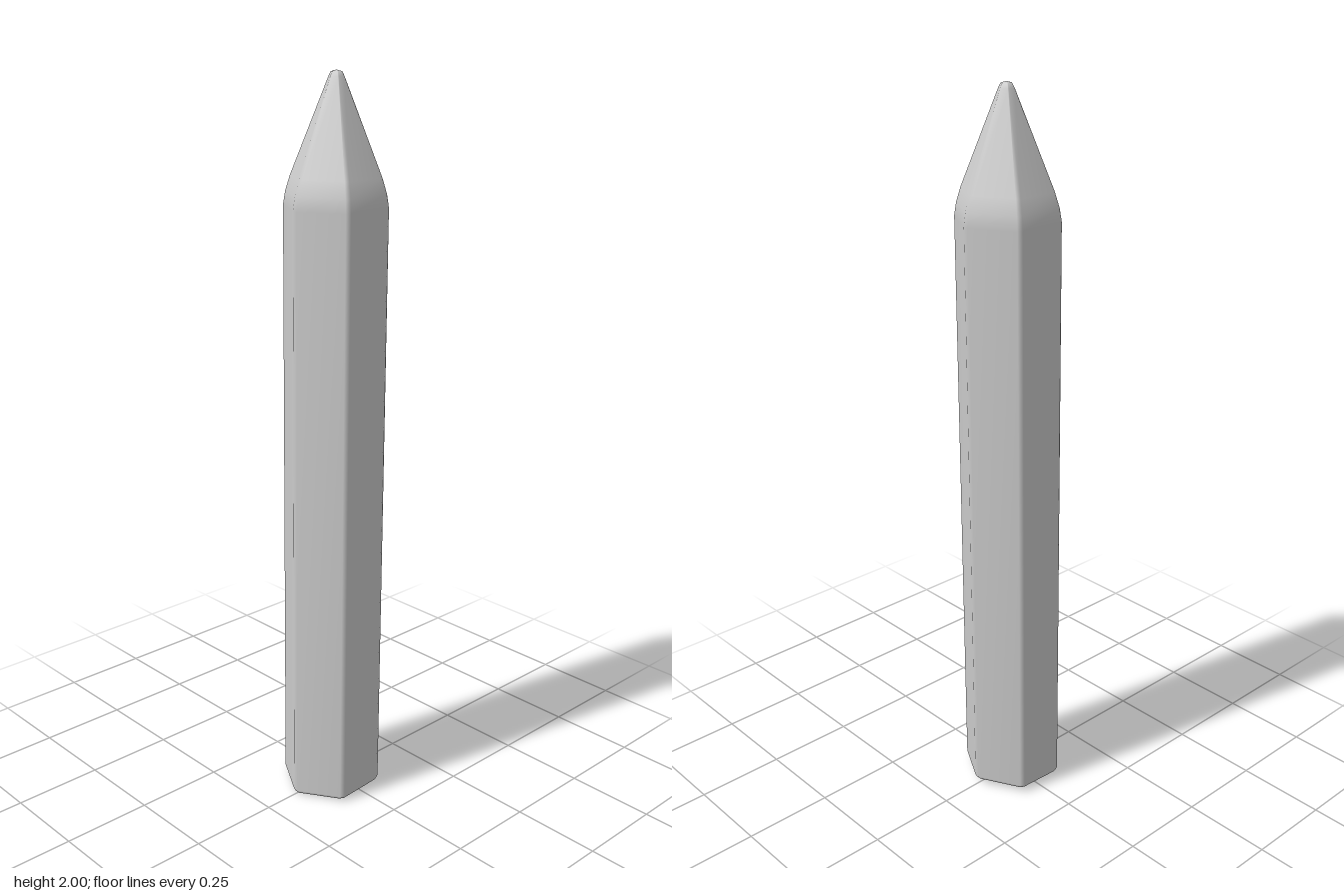
import * as THREE from 'three';

// Rings of the profile: [height, corner radius, slant of the ring along x]
const RINGS = [
  [0.008, 0.128, 0.055],
  [0.011, 0.136, 0.055],
  [0.021, 0.143, 0.055],
  [1.665, 0.143, 0],
  [1.7, 0.137, 0],
  [1.74, 0.124, 0],
  [1.985, 0.021, 0],
  [1.996, 0.015, 0],
];
const SIDES = 12; // six flats with six narrow bevelled corners

// The shaft leans slightly toward +x
const lean = (y) => -0.0085 + 0.0098 * y;

// Hexagon with each corner cut by a narrow bevel; i runs counterclockwise from above
function hexPoint(i, radius) {
  const corner = (Math.floor(i / 2) * Math.PI) / 3;
  const out = radius * 0.972;
  const side = (i % 2 ? 1 : -1) * radius * 0.0485;
  return [
    out * Math.cos(corner) - side * Math.sin(corner),
    -(out * Math.sin(corner) + side * Math.cos(corner)),
  ];
}

function hexShaftGeometry() {
  const positions = [];
  const index = [];
  for (const [y, radius, slant] of RINGS) {
    for (let i = 0; i < SIDES; i++) {
      const [x, z] = hexPoint(i, radius);
      positions.push(x + lean(y), y + slant * x, z);
    }
  }
  // Walls between neighbouring rings
  for (let j = 0; j < RINGS.length - 1; j++) {
    for (let i = 0; i < SIDES; i++) {
      const a = j * SIDES + i;
      const b = j * SIDES + ((i + 1) % SIDES);
      index.push(a, b, b + SIDES, a, b + SIDES, a + SIDES);
    }
  }
  // Slanted base and blunt tip
  const base = positions.length / 3;
  const tip = base + 1;
  positions.push(lean(0), RINGS[0][0], 0, lean(2), 2, 0);
  const last = (RINGS.length - 1) * SIDES;
  for (let i = 0; i < SIDES; i++) {
    const next = (i + 1) % SIDES;
    index.push(base, next, i);
    index.push(tip, last + i, last + next);
  }
  const geometry = new THREE.BufferGeometry();
  geometry.setAttribute('position', new THREE.Float32BufferAttribute(positions, 3));
  geometry.setIndex(index);
  // Area-weighted normals keep the flats flat and the bevels soft
  geometry.computeVertexNormals();
  return geometry;
}

export function createModel() {
  const group = new THREE.Group();
  group.name = 'pointedHexPost';
  const post = new THREE.Mesh(
    hexShaftGeometry(),
    new THREE.MeshStandardMaterial({ color: 0xcccccc })
  );
  post.name = 'hexShaftWithPoint';
  group.add(post);
  return group;
}
